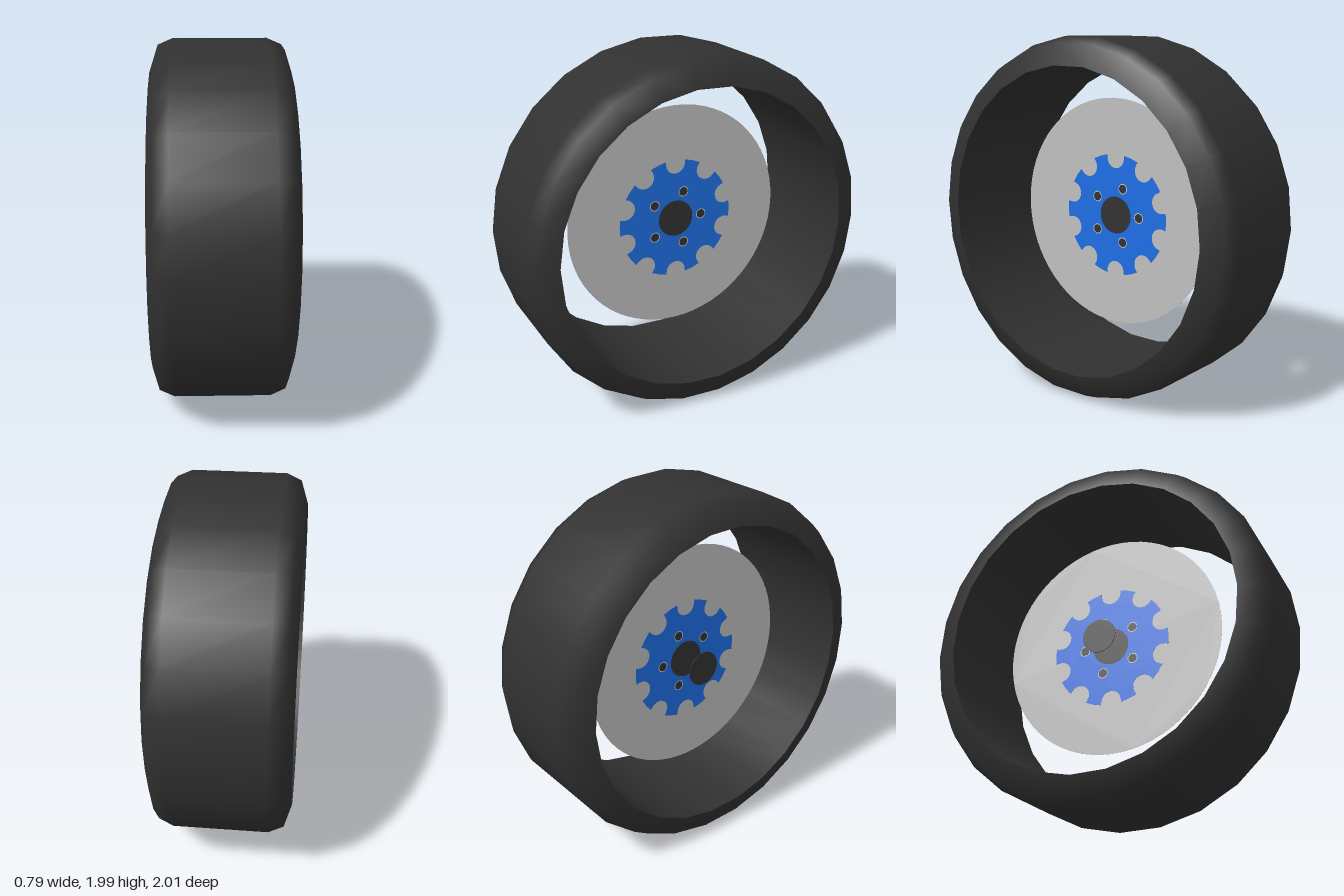
import * as THREE from 'three';

const mat = (name, color) => {
  const m = new THREE.MeshStandardMaterial({ color });
  m.name = name;
  return m;
};

export function createModel() {
  const rubber = mat('dark rubber', 0x313131);
  const steel = mat('brushed steel', 0xbfbfbf);
  const blue = mat('blue hub paint', 0x1e6ee5);

  const wheel = new THREE.Group();
  wheel.name = 'wheel';
  wheel.position.y = 0.9955;
  wheel.rotation.y = -0.02;

  const add = (parent, name, geometry, material) => {
    const mesh = new THREE.Mesh(geometry, material);
    mesh.name = name;
    parent.add(mesh);
    return mesh;
  };

  // Lathed rings, with the axle along x and the wheel rolled slightly
  const ring = (name, points) => {
    const geo = new THREE.LatheGeometry(points.map(([r, x]) => new THREE.Vector2(r, x)), 26);
    geo.rotateZ(-Math.PI / 2);
    geo.rotateX(-0.024);
    add(wheel, name, geo, rubber);
  };
  ring('tyre', [
    [0.847, -0.376], [0.965, -0.338], [1, -0.257],
    [1, 0.257], [0.965, 0.338], [0.847, 0.376],
  ]);
  ring('innerBarrel', [[0.847, 0.376], [0.847, -0.376]]);

  // Flat plates are drawn facing the model's left and centred on the disc plane
  const plates = new THREE.Group();
  plates.name = 'brakeAssembly';
  plates.rotation.y = Math.PI / 2;
  plates.position.x = -0.045;
  wheel.add(plates);

  const plate = (name, shape, depth, material) => {
    const geo = new THREE.ExtrudeGeometry(shape, { depth, bevelEnabled: false, curveSegments: 32 });
    geo.translate(0, 0, -depth / 2);
    return add(plates, name, geo, material);
  };
  const circle = (r, x = 0, y = 0) => new THREE.Shape().absarc(x, y, r, 0, Math.PI * 2, false);

  // Brake disc
  plate('brakeDisc', circle(0.65, 0, 0.005), 0.002, steel);

  // Hub carrier: ten teeth separated by round notches
  const R = 0.35, notchR = 0.06, notchAt = 0.33, half = 0.14;
  const carrier = new THREE.Shape();
  for (let i = 0; i < 10; i++) {
    const tooth = (i / 10) * Math.PI * 2;
    const mid = tooth + Math.PI / 10;
    for (const d of [-half, 0, half]) {
      const p = [R * Math.cos(tooth + d), R * Math.sin(tooth + d)];
      i || d !== -half ? carrier.lineTo(...p) : carrier.moveTo(...p);
    }
    for (let k = 0; k <= 8; k++) {
      const a = mid - Math.PI / 2 - (k / 8) * Math.PI;
      carrier.lineTo(
        notchAt * Math.cos(mid) + notchR * Math.cos(a),
        notchAt * Math.sin(mid) + notchR * Math.sin(a),
      );
    }
  }

  // Five bolts, each set in a slightly larger hole
  const bolts = [];
  for (let i = 0; i < 5; i++) {
    const a = (i / 5) * Math.PI * 2;
    const x = 0.163 * Math.cos(a), y = 0.163 * Math.sin(a);
    carrier.holes.push(new THREE.Path().absarc(x, y, 0.031, 0, Math.PI * 2, true));
    bolts.push(circle(0.025, x, y));
  }
  const parts = [plate('hubCarrier', carrier, 0.004, blue)];
  bolts.forEach((s) => parts.push(plate('wheelBolt', s, 0.004, rubber)));
  parts.push(plate('hubCentre', circle(0.107), 0.006, rubber));

  // Axle end cap, on the inner side of the disc
  const cap = plate('axleEndCap', circle(0.098), 0.004, rubber);
  cap.position.z = -0.155;
  parts.push(cap);
  parts.forEach((p) => { p.position.x = 0.009; p.position.y = -0.011; });

  const model = new THREE.Group();
  model.name = 'wheelModel';
  model.add(wheel);
  return model;
}
